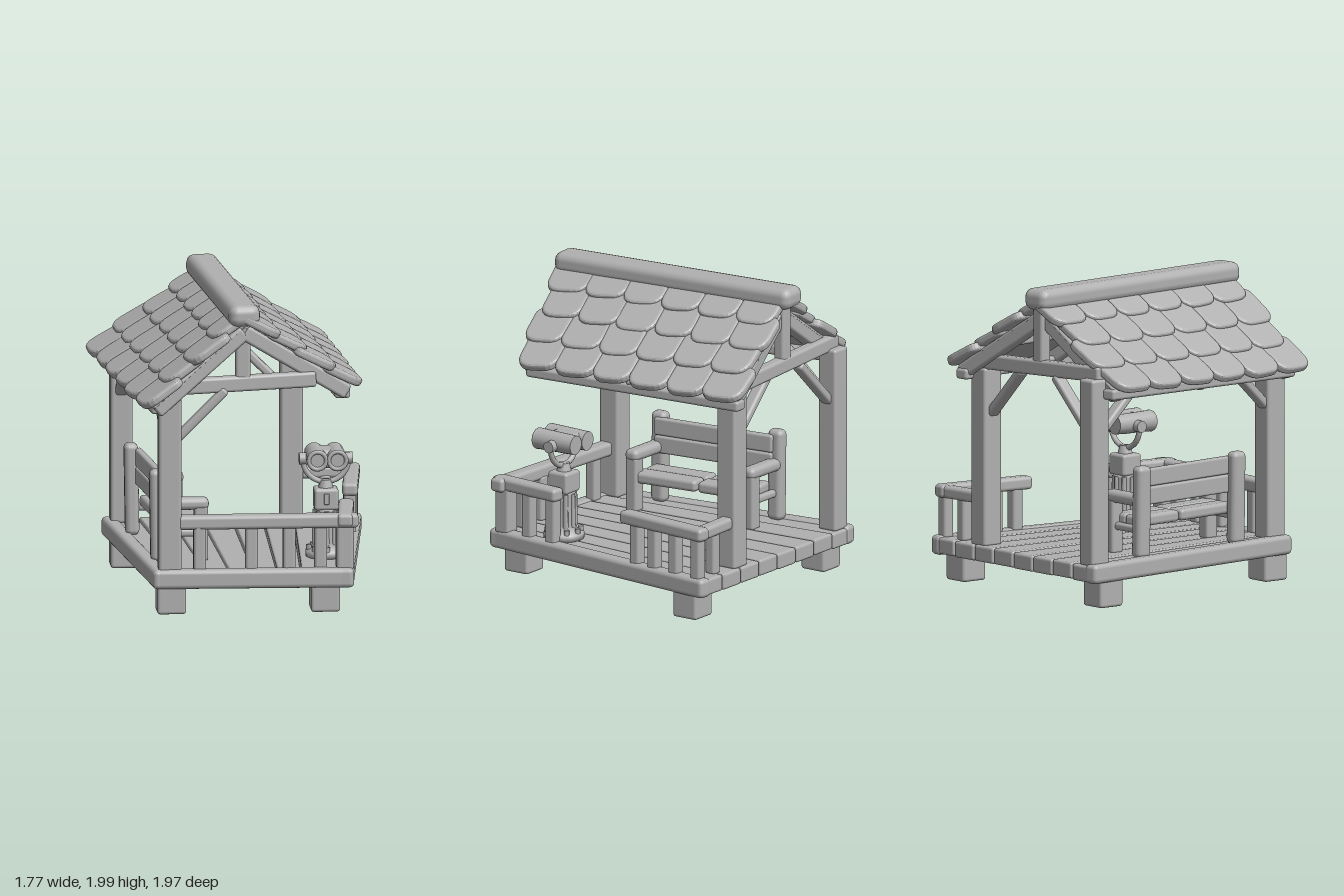
import * as THREE from 'three';
import { RoundedBoxGeometry } from 'three/addons/geometries/RoundedBoxGeometry.js';

const V = (x, y, z) => new THREE.Vector3(x, y, z);

export function createModel() {
  const model = new THREE.Group();
  const grey = new THREE.MeshStandardMaterial({ color: 0xb0b0b0, side: THREE.DoubleSide });
  grey.name = 'plainGrey';
  let seed = 7;
  const rand = () => (seed = (seed * 16807) % 2147483647) / 2147483647 - 0.5;

  const part = (name, parent = model) => {
    const g = new THREE.Group();
    g.name = name;
    parent.add(g);
    return g;
  };
  const add = (name, geo, parent, x = 0, y = 0, z = 0) => {
    const m = new THREE.Mesh(geo, grey);
    m.name = name;
    m.position.set(x, y, z);
    parent.add(m);
    return m;
  };
  // Rounded timber running from a to b
  const beam = (name, a, b, w, h, parent, r = 0.02) => {
    const geo = new RoundedBoxGeometry(w, h, a.distanceTo(b), 2, Math.min(r, w * 0.45, h * 0.45));
    const m = add(name, geo, parent);
    m.position.copy(a).lerp(b, 0.5);
    m.lookAt(b);
    return m;
  };
  const upright = (name, x, z, y0, y1, w, parent, d = w) =>
    beam(name, V(x, y0, z), V(x, y1, z), w, d, parent);

  // Deck narrows towards the front
  const half = z => 0.735 - 0.109 * z;
  const edge = (side, z, inset = 0) => 0.05 + side * (half(z) - inset);
  const deck = part('deck');
  const count = 8;
  for (let i = 0; i < count; i++) {
    const geo = new RoundedBoxGeometry(1.9 / count - 0.012, 0.105, 1.74, 2, 0.016);
    const p = geo.attributes.position;
    for (let k = 0; k < p.count; k++) {
      const u = p.getX(k) + ((i + 0.5) / count - 0.5) * 1.9;
      p.setX(k, 0.05 + u * half(p.getZ(k)));
    }
    geo.computeVertexNormals();
    add('plank', geo, deck, 0, 0.226 + rand() * 0.006, -0.015);
  }
  beam('leftRim', V(edge(-1, -0.89, 0.05), 0.228, -0.89), V(edge(-1, 0.89, 0.05), 0.228, 0.89), 0.1, 0.125, deck, 0.03);
  beam('rightRim', V(edge(1, -0.89, 0.05), 0.228, -0.89), V(edge(1, 0.93, 0.05), 0.228, 0.93), 0.1, 0.125, deck, 0.03);
  beam('frontRim', V(-0.585, 0.228, 0.84), V(0.69, 0.228, 0.88), 0.1, 0.125, deck, 0.03);
  for (const [x, z] of [[-0.47, 0.78], [0.51, 0.78], [-0.645, -0.71], [0.735, -0.71]])
    upright('foot', x, z, 0, 0.2, 0.185, deck);

  // Three main posts
  const frame = part('frame');
  upright('frontLeftPost', -0.48, 0.79, 0.27, 1.47, 0.145, frame);
  upright('backLeftPost', -0.66, -0.795, 0.27, 1.47, 0.14, frame);
  upright('backRightPost', 0.425, -0.795, 0.27, 1.42, 0.145, frame);
  // Diagonal braces along and across
  const brace = (x, z, dx, dz) =>
    beam('brace', V(x, 1.1, z), V(x + dx, 1.44, z + dz), 0.085, 0.055, frame);
  brace(-0.46, 0.79, 0.34, 0);
  brace(-0.49, 0.77, -0.03, -0.37);
  brace(-0.66, -0.77, 0.02, 0.37);
  brace(-0.64, -0.79, 0.36, 0);
  brace(0.4, -0.79, -0.34, 0);

  // Skewed roof slopes: ridge back, ridge front, eave back, eave front
  const roof = part('roof');
  const ridge = [V(-0.13, 1.895, -0.84), V(0, 1.9, 0.84)];
  const eaves = {
    left: [V(-0.86, 1.41, -0.79), V(-0.61, 1.365, 0.97)],
    right: [V(0.59, 1.425, -0.965), V(0.72, 1.425, 0.68)]
  };
  const at = (side, s, t, drop = 0) => {
    const p = ridge[0].clone().lerp(ridge[1], t);
    p.lerp(eaves[side][0].clone().lerp(eaves[side][1], t), s);
    p.y -= drop;
    return p;
  };
  const tileShape = (w, l) => {
    const x = w / 2, y = l / 2, r = 0.085, q = 0.04, s = new THREE.Shape();
    s.moveTo(-x + q, -y);
    s.lineTo(x - q, -y);
    s.quadraticCurveTo(x, -y, x, -y + q);
    s.lineTo(x, y - r);
    s.quadraticCurveTo(x, y, x - r, y);
    s.lineTo(-x + r, y);
    s.quadraticCurveTo(-x, y, -x, y - r);
    s.lineTo(-x, -y + q);
    s.quadraticCurveTo(-x, -y, -x + q, -y);
    return s;
  };
  for (const side of ['left', 'right']) {
    // Boarding below the tiles
    const board = new THREE.BufferGeometry().setFromPoints(
      [at(side, 0, 0.02, 0.06), at(side, 0, 0.98, 0.06), at(side, 0.95, 0.02, 0.045), at(side, 0.95, 0.98, 0.045)]);
    board.setIndex(side === 'right' ? [0, 1, 2, 2, 1, 3] : [0, 2, 1, 1, 2, 3]);
    board.computeVertexNormals();
    add(side + 'Boarding', board, roof);
    // Overlapping shingles, staggered by row
    const tiles = part(side + 'Shingles', roof);
    const rows = 4, cols = 6;
    const shift = side === 'left' ? [-0.08, 0.1] : [0.08, -0.06];
    for (let r = 0; r < rows; r++) for (let c = 0; c < cols; c++) {
      const s = (r + 0.5) / rows - 0.005;
      const t = (c + 0.5 + shift[r % 2]) / cols;
      const pos = at(side, s, t);
      const down = at(side, 1, t).sub(at(side, 0, t)).normalize();
      const along = at(side, s, 1).sub(at(side, s, 0));
      const n = along.clone().cross(down).normalize();
      if (n.y < 0) n.negate();
      const tilt = 0.09 + rand() * 0.05;
      const y = down.clone().addScaledVector(n, tilt).normalize();
      const x = y.clone().cross(n).normalize();
      const z = x.clone().cross(y);
      const geo = new THREE.ExtrudeGeometry(
        tileShape(along.length() / cols - 0.035 + rand() * 0.02, 0.265 + rand() * 0.02),
        { depth: 0.022, bevelSize: 0.022, bevelThickness: 0.018, bevelSegments: 3, curveSegments: 5 });
      const m = add('shingle', geo, tiles);
      m.quaternion.setFromRotationMatrix(new THREE.Matrix4().makeBasis(x, y, z));
      m.rotateZ(rand() * 0.08);
      m.position.copy(pos);
    }
    // Rafters, purlin and eave beam
    for (const t of [0.05, 0.5, 0.95])
      beam('rafter', at(side, 0, t, 0.095), at(side, 0.93, t, 0.08), t === 0.5 ? 0.07 : 0.1, 0.1, roof);
    const drop = side === 'left' ? 0.085 : 0.105;
    beam('eaveBeam', at(side, 0.89, 0.01, drop), at(side, 0.89, 0.97, drop), 0.1, 0.07, roof);
    beam('purlin', at(side, 0.45, 0.03, 0.08), at(side, 0.45, 0.97, 0.08), 0.06, 0.06, roof);
  }
  beam('ridgeCap', V(-0.147, 1.92, -0.88), V(0, 1.92, 0.87), 0.2, 0.14, roof, 0.055);
  // Gable ties and king posts
  beam('frontTie', V(-0.46, 1.465, 0.82), V(0.46, 1.48, 0.69), 0.08, 0.1, frame);
  beam('backTie', V(-0.71, 1.5, -0.77), V(0.49, 1.455, -0.82), 0.08, 0.1, frame);
  upright('frontKingPost', -0.01, 0.75, 1.47, 1.87, 0.095, frame, 0.08);
  upright('backKingPost', -0.125, -0.79, 1.47, 1.87, 0.095, frame, 0.08);

  // Railings around the front and right side
  const rails = part('railings');
  beam('frontRail', V(-0.43, 0.587, 0.81), V(0.72, 0.592, 0.85), 0.1, 0.09, rails, 0.025);
  beam('frontSideRail', V(0.63, 0.597, 0.91), V(0.68, 0.597, 0.38), 0.1, 0.085, rails, 0.025);
  beam('backSideRail', V(0.75, 0.575, -0.18), V(0.82, 0.575, -0.87), 0.1, 0.085, rails, 0.025);
  beam('backRail', V(0.86, 0.572, -0.82), V(0.44, 0.572, -0.8), 0.09, 0.08, rails, 0.025);
  for (const x of [-0.29, 0.04, 0.28, 0.48]) upright('baluster', x, 0.82, 0.27, 0.57, 0.08, rails);
  for (const z of [0.83, 0.63, 0.43]) upright('baluster', edge(1, z, 0.06), z, 0.27, 0.58, z > 0.8 ? 0.11 : 0.08, rails);
  for (const z of [-0.29, -0.44, -0.62, -0.81]) upright('baluster', edge(1, z, 0.06), z, 0.27, 0.56, 0.078, rails);
  upright('baluster', 0.64, -0.8, 0.27, 0.56, 0.075, rails);

  // Bench along the left edge
  const bench = part('bench');
  const back = z => -0.585 + 0.109 * z;
  for (const z of [-0.38, 0.47]) {
    const x = back(z);
    beam('backLeg', V(x + 0.005, 0.27, z), V(x - 0.005, 0.865, z), 0.11, 0.09, bench, 0.035);
    upright('frontLeg', x + 0.28, z, 0.27, 0.63, 0.09, bench);
    beam('armrest', V(x, 0.64, z), V(x + 0.33, 0.64, z), 0.1, 0.08, bench, 0.035);
    beam('seatSupport', V(x, 0.45, z), V(x + 0.3, 0.45, z), 0.05, 0.05, bench);
  }
  for (const y of [0.658, 0.776])
    beam('backSlat', V(back(-0.38) + 0.04, y, -0.38), V(back(0.48) + 0.04, y, 0.48), 0.05, 0.115, bench, 0.015);
  for (const [a, b] of [[-0.37, 0], [0.015, 0.47]]) for (const d of [0.11, 0.245])
    beam('seatBoard', V(back(a) + d, 0.495, a), V(back(b) + d, 0.495, b), 0.13, 0.075, bench, 0.025);

  // Viewing binoculars on a pedestal
  const viewer = part('binoculars');
  viewer.position.set(0.545, 0, 0.44);
  const profile = [[0, 0.28], [0.13, 0.28], [0.13, 0.32], [0.09, 0.335], [0.075, 0.37], [0.07, 0.57], [0.08, 0.59], [0, 0.6]];
  add('pedestal', new THREE.LatheGeometry(profile.map(p => new THREE.Vector2(...p)), 20), viewer);
  for (let i = 0; i < 8; i++) {
    const a = i * Math.PI / 4;
    add('bolt', new THREE.CylinderGeometry(0.018, 0.018, 0.04, 8), viewer, 0.107 * Math.cos(a), 0.335, 0.107 * Math.sin(a));
    add('rib', new THREE.CylinderGeometry(0.015, 0.018, 0.22, 8), viewer, 0.07 * Math.cos(a), 0.47, 0.07 * Math.sin(a));
  }
  add('coinBox', new RoundedBoxGeometry(0.155, 0.14, 0.15, 2, 0.02), viewer, 0, 0.655, 0);
  add('coinSlot', new RoundedBoxGeometry(0.035, 0.07, 0.02, 1, 0.005), viewer, 0, 0.66, 0.075);
  add('neck', new THREE.CylinderGeometry(0.035, 0.05, 0.06, 16), viewer, 0, 0.745, 0);
  const yoke = add('yoke', new THREE.TorusGeometry(0.145, 0.018, 10, 24, Math.PI), viewer, 0, 0.905, 0);
  yoke.rotation.z = Math.PI;
  for (const s of [-1, 1]) {
    add('pivot', new THREE.CylinderGeometry(0.038, 0.038, 0.05, 14), viewer, s * 0.145, 0.912, 0).rotation.z = Math.PI / 2;
    add('barrel', new THREE.CylinderGeometry(0.068, 0.062, 0.29, 20), viewer, s * 0.064, 0.925, 0.005).rotation.x = Math.PI / 2;
    add('lensRing', new THREE.TorusGeometry(0.056, 0.014, 8, 20), viewer, s * 0.064, 0.925, 0.15);
  }
  add('housing', new RoundedBoxGeometry(0.2, 0.12, 0.2, 2, 0.03), viewer, 0, 0.92, -0.01);
  return model;
}
